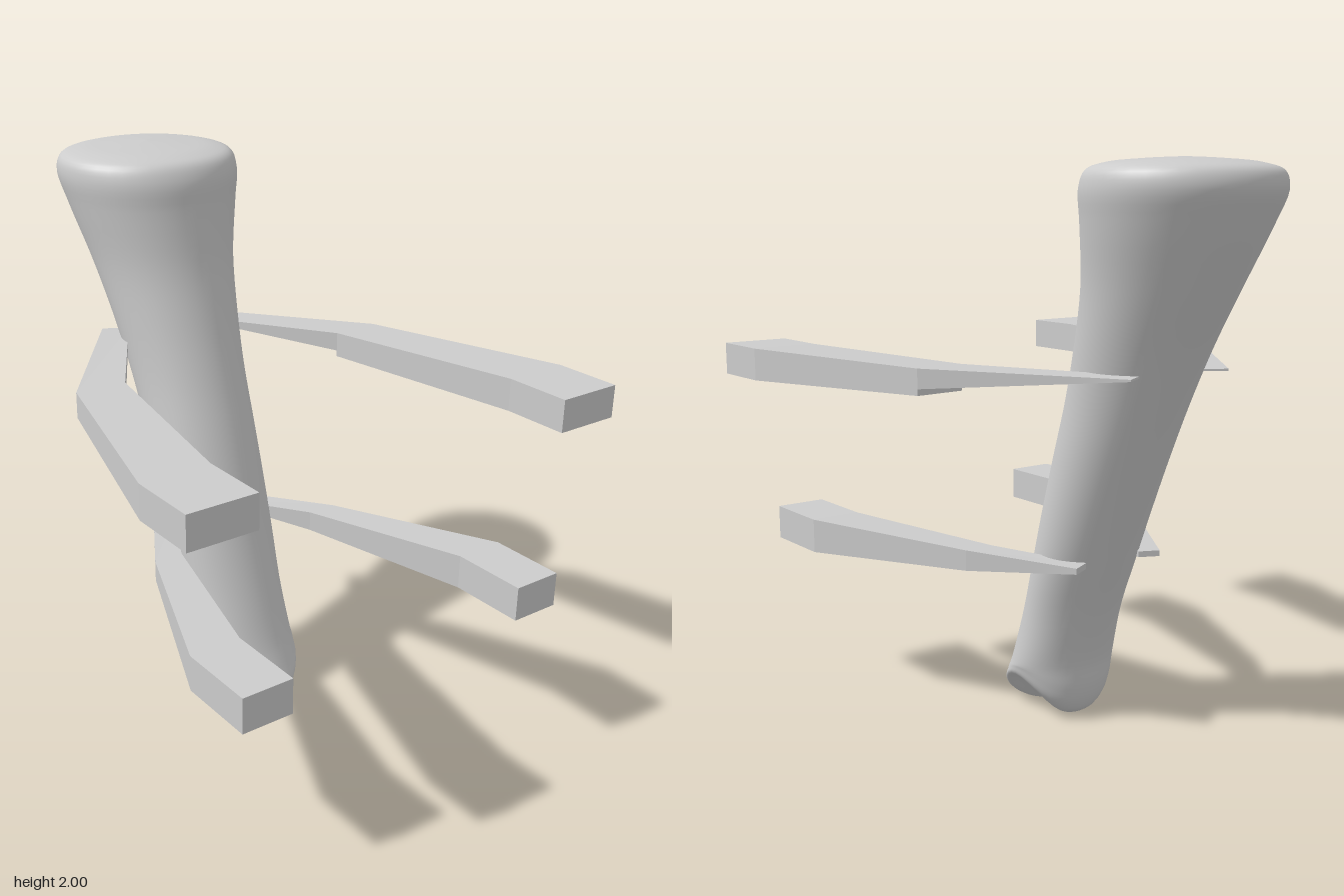
import * as THREE from 'three';

const SEG = 40, ROWS = 80;

// Horizontal body sections: y, front z, back z, half width, lift of the sides
const SECTIONS = [
  [0.018, 0.04, 0.04, 0, 0.0],
  [0.005, 0.17, -0.08, 0.08, 0.06],
  [0.03, 0.215, -0.13, 0.15, 0.1],
  [0.07, 0.213, -0.152, 0.187, 0.09],
  [0.13, 0.185, -0.165, 0.197, 0.06],
  [0.22, 0.145, -0.17, 0.2, 0],
  [0.4, 0.085, -0.22, 0.192, 0],
  [0.6, 0.025, -0.3, 0.2, 0],
  [0.8, -0.03, -0.385, 0.204, 0],
  [1.0, -0.09, -0.475, 0.208, 0],
  [1.2, -0.155, -0.57, 0.215, 0],
  [1.4, -0.215, -0.67, 0.235, 0],
  [1.6, -0.263, -0.785, 0.265, 0],
  [1.8, -0.285, -0.895, 0.313, 0],
  [1.9, -0.29, -0.94, 0.333, 0],
  [1.955, -0.315, -0.925, 0.32, 0],
  [1.98, -0.37, -0.86, 0.26, 0],
  [1.993, -0.48, -0.75, 0.14, 0],
  [2.0, -0.62, -0.62, 0, 0],
];

// Smooth leaning trunk lofted through the sections
function bodyGeometry() {
  const edges = new THREE.CatmullRomCurve3(SECTIONS.map(s => new THREE.Vector3(s[0], s[1], s[2])));
  const widths = new THREE.CatmullRomCurve3(SECTIONS.map(s => new THREE.Vector3(s[3], s[4], s[0])));
  const pos = [], index = [];
  for (let r = 0; r <= ROWS; r++) {
    const e = edges.getPoint(r / ROWS), w = widths.getPoint(r / ROWS);
    const mid = (e.y + e.z) / 2, depth = (e.y - e.z) / 2;
    for (let i = 0; i < SEG; i++) {
      const a = (i / SEG) * Math.PI * 2;
      pos.push(w.x * Math.sin(a), e.x + w.y * Math.sin(a) ** 4, mid + depth * Math.cos(a));
    }
  }
  for (let r = 0; r < ROWS; r++) {
    for (let i = 0; i < SEG; i++) {
      const a = r * SEG + i, b = r * SEG + (i + 1) % SEG;
      const c = a + SEG, d = b + SEG;
      if (r > 0) index.push(a, b, d);
      if (r < ROWS - 1) index.push(a, d, c);
    }
  }
  const g = new THREE.BufferGeometry();
  g.setAttribute('position', new THREE.Float32BufferAttribute(pos, 3));
  g.setIndex(index);
  g.computeVertexNormals();
  return g;
}

// Faceted bar through sections running front to back:
// [outer x, outer z, inner x, inner z, bottom y, top y]
function barGeometry(sections, side) {
  const pos = [], index = [];
  for (const [ox, oz, ix, iz, y0, y1] of sections) {
    pos.push(side * ox, y0, oz, side * ox, y1, oz, side * ix, y1, iz, side * ix, y0, iz);
  }
  const quad = (a, b, c, d) => {
    if (side > 0) index.push(a, b, c, a, c, d);
    else index.push(a, c, b, a, d, c);
  };
  for (let s = 0; s < sections.length - 1; s++) {
    for (let k = 0; k < 4; k++) {
      const n = (k + 1) % 4, o = s * 4;
      quad(o + k, o + 4 + k, o + 4 + n, o + n);
    }
  }
  const e = (sections.length - 1) * 4;
  quad(0, 1, 2, 3);
  quad(e + 3, e + 2, e + 1, e);
  const g = new THREE.BufferGeometry();
  g.setAttribute('position', new THREE.Float32BufferAttribute(pos, 3));
  g.setIndex(index);
  const flat = g.toNonIndexed();
  flat.computeVertexNormals();
  return flat;
}

const UPPER = [
  [0.845, 0.94, 0.605, 0.94, 1.225, 1.34],
  [0.845, 0.7, 0.605, 0.7, 1.225, 1.34],
  [0.635, -0.05, 0.455, -0.04, 1.238, 1.328],
  [0.635, -0.05, 0.455, -0.04, 1.26, 1.328], // small step underneath
  [0.215, -0.62, 0.13, -0.57, 1.31, 1.317],
];
const LOWER = [
  [0.658, 0.935, 0.473, 0.935, 0.565, 0.69],
  [0.658, 0.655, 0.473, 0.655, 0.565, 0.69],
  [0.4, 0.03, 0.29, 0.03, 0.588, 0.662],
  [0.19, -0.325, 0.12, -0.29, 0.617, 0.638],
];

export function createModel() {
  const model = new THREE.Group();
  const smooth = new THREE.MeshStandardMaterial({ color: 0xcccccc });
  const faceted = new THREE.MeshStandardMaterial({ color: 0xcccccc, flatShading: true });
  const add = (name, geometry, material) => {
    const mesh = new THREE.Mesh(geometry, material);
    mesh.name = name;
    model.add(mesh);
  };

  add('body', bodyGeometry(), smooth);

  // Two pairs of forward-reaching arms
  for (const [label, side] of [['Left', 1], ['Right', -1]]) {
    add('upperArm' + label, barGeometry(UPPER, side), faceted);
    add('lowerArm' + label, barGeometry(LOWER, side), faceted);
  }
  return model;
}
